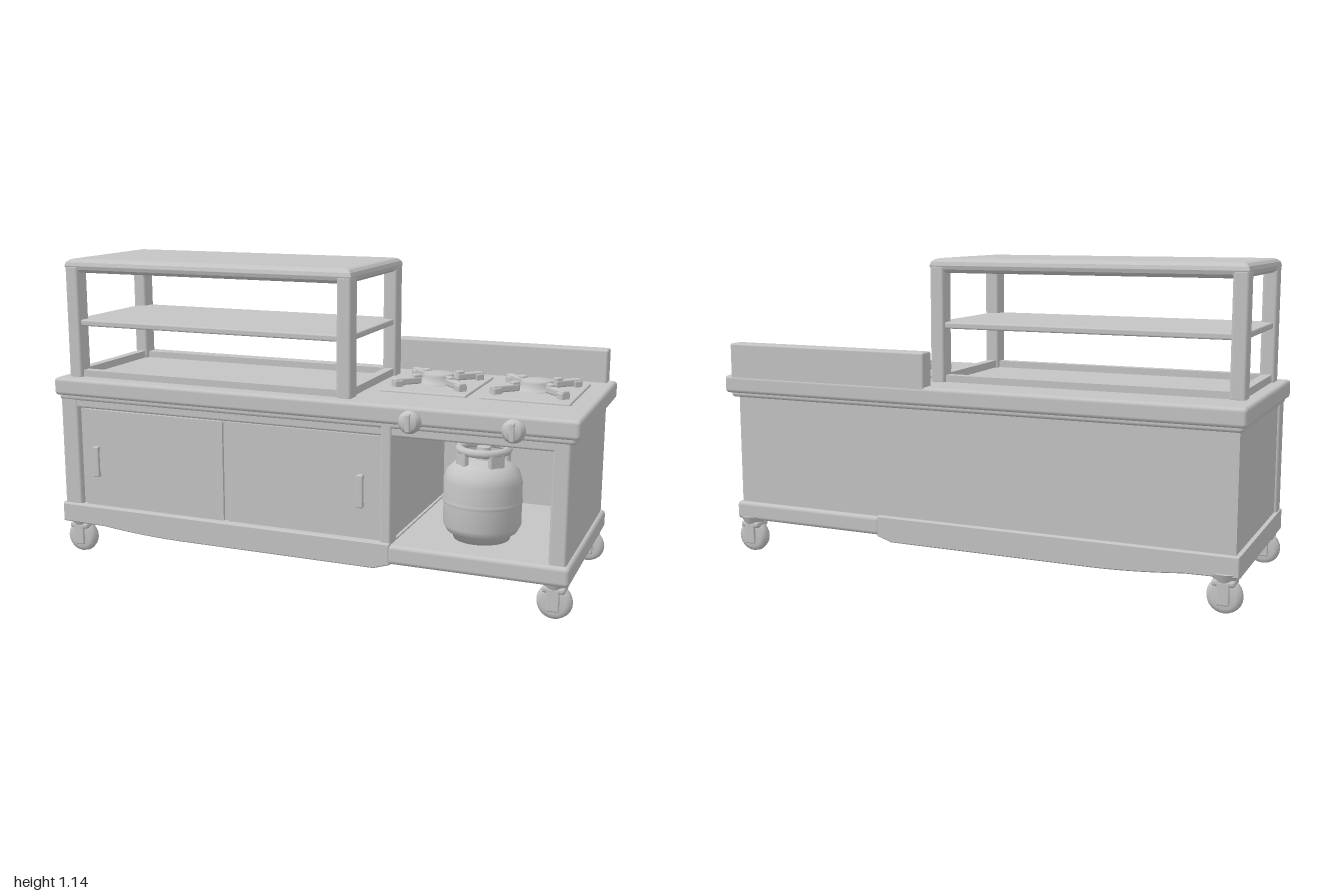
import * as THREE from 'three';
import { RoundedBoxGeometry } from 'three/addons/geometries/RoundedBoxGeometry.js';

const steel = new THREE.MeshStandardMaterial({ color: 0xc4c4c4 });
steel.name = 'brushed steel grey';

function add(parent, name, geometry, x = 0, y = 0, z = 0) {
  const mesh = new THREE.Mesh(geometry, steel);
  mesh.name = name;
  mesh.position.set(x, y, z);
  parent.add(mesh);
  return mesh;
}

// Box given by its extents; r rounds the edges
function block(parent, name, x0, x1, y0, y1, z0, z1, r = 0) {
  const s = [x1 - x0, y1 - y0, z1 - z0];
  const g = r ? new RoundedBoxGeometry(...s, 2, r) : new THREE.BoxGeometry(...s);
  return add(parent, name, g, (x0 + x1) / 2, (y0 + y1) / 2, (z0 + z1) / 2);
}

function group(parent, name, x = 0, y = 0, z = 0) {
  const g = new THREE.Group();
  g.name = name;
  g.position.set(x, y, z);
  parent.add(g);
  return g;
}

function lathe(points, segments = 32) {
  return new THREE.LatheGeometry(points.map(p => new THREE.Vector2(...p)), segments);
}

function cabinet(root) {
  const g = group(root, 'cabinet');
  block(g, 'cupboard', -0.97, 0.35, 0.19, 0.63, -0.345, 0.325);
  block(g, 'rightPanel', 0.91, 0.97, 0.19, 0.63, -0.345, 0.345, 0.01);
  block(g, 'backPanel', 0.34, 0.96, 0.19, 0.63, -0.345, -0.32);
  block(g, 'leftPost', -0.98, -0.905, 0.19, 0.63, 0.28, 0.347, 0.01);
  block(g, 'middlePost', 0.32, 0.36, 0.13, 0.63, 0.28, 0.35, 0.008);
  block(g, 'topRail', -0.95, 0.96, 0.585, 0.63, 0.28, 0.345, 0.008);

  // Sliding doors with a narrow gap and upright pulls
  block(g, 'leftDoor', -0.885, -0.295, 0.2, 0.58, 0.32, 0.336);
  block(g, 'rightDoor', -0.278, 0.32, 0.2, 0.58, 0.32, 0.332);
  for (const x of [-0.83, 0.245]) {
    const h = group(g, 'doorPull', x, 0.38, 0.335);
    block(h, 'grip', -0.013, 0.013, -0.06, 0.06, 0.007, 0.02, 0.005);
    for (const y of [-0.05, 0.05]) block(h, 'mount', -0.01, 0.01, y - 0.008, y + 0.008, -0.005, 0.012);
  }

  // Lower skirt sags gently under the cupboard
  const s = new THREE.Shape();
  s.moveTo(-0.98, 0.135);
  s.lineTo(-0.8, 0.132);
  s.quadraticCurveTo(-0.62, 0.113, -0.46, 0.113);
  s.lineTo(0.3, 0.113);
  s.lineTo(0.355, 0.13);
  s.lineTo(0.355, 0.2);
  s.lineTo(-0.98, 0.2);
  s.closePath();
  const skirt = new THREE.ExtrudeGeometry(s, {
    depth: 0.7, bevelEnabled: true, bevelSize: 0.005, bevelThickness: 0.01, bevelSegments: 2, curveSegments: 8,
  });
  add(g, 'skirt', skirt, 0, 0, -0.35);
  block(g, 'openShelfBase', 0.35, 0.985, 0.13, 0.2, -0.36, 0.36, 0.015);
}

function counter(root) {
  const g = group(root, 'counter');
  block(g, 'worktop', -1, 1, 0.63, 0.697, -0.39, 0.36, 0.014);
  block(g, 'worktopUnderside', -0.985, 0.985, 0.612, 0.65, -0.37, 0.35, 0.012);
  block(g, 'backsplash', 0.145, 0.97, 0.66, 0.82, -0.388, -0.325, 0.008);
}

// Serving rack: posts, rails, middle shelf and roof
function rack(root) {
  const g = group(root, 'servingRack');
  const [x0, x1, z0, z1] = [-0.96, 0.195, -0.235, 0.31];
  for (const x of [x0, x1 - 0.055])
    for (const z of [z0, z1 - 0.065]) block(g, 'post', x, x + 0.055, 0.69, 1.12, z, z + 0.065, 0.01);
  for (const x of [x0 + 0.01, x1 - 0.045])
    block(g, 'sideRail', x, x + 0.035, 0.69, 0.725, z0 + 0.03, z1 - 0.03);
  for (const z of [z0 + 0.015, z1 - 0.05])
    block(g, 'longRail', x0 + 0.03, x1 - 0.03, 0.69, 0.722, z, z + 0.035);
  block(g, 'middleShelf', x0 + 0.012, x1 - 0.012, 0.892, 0.915, z0 + 0.012, z1 - 0.012, 0.006);

  const roof = new THREE.Shape();
  const [a, b, c, d] = [x0 + 0.03, x1 - 0.03, z0 + 0.03, z1 - 0.03];
  roof.moveTo(a, -c);
  roof.lineTo(b, -c);
  roof.lineTo(b, -d);
  roof.lineTo(a, -d);
  roof.closePath();
  const geo = new THREE.ExtrudeGeometry(roof, {
    depth: 0.001, bevelEnabled: true, bevelSize: 0.03, bevelThickness: 0.026, bevelSegments: 3,
  });
  geo.rotateX(-Math.PI / 2);
  add(g, 'roof', geo, 0, 1.118, 0);
}

function burner(root, x) {
  const g = group(root, 'burner', x, 0.697, -0.055);
  block(g, 'drip plate', -0.16, 0.16, -0.01, 0.008, -0.195, 0.195, 0.006);
  add(g, 'cap', lathe([[0.075, 0], [0.07, 0.016], [0.055, 0.02], [0.058, 0.038], [0.05, 0.046], [0, 0.048]], 16));
  for (let i = 0; i < 4; i++) {
    const arm = group(g, 'panSupport');
    arm.rotation.y = Math.PI / 4 + i * Math.PI / 2;
    block(arm, 'bar', 0.075, 0.185, 0.012, 0.038, -0.014, 0.014, 0.006);
    block(arm, 'foot', 0.15, 0.185, 0, 0.032, -0.018, 0.018, 0.006);
    block(arm, 'tip', 0.075, 0.105, 0.02, 0.047, -0.012, 0.012, 0.005);
  }
}

function knob(root, x) {
  const geo = lathe([[0.03, 0], [0.04, 0.008], [0.04, 0.022], [0.03, 0.03], [0.028, 0.04], [0, 0.041]], 20);
  geo.rotateX(Math.PI / 2);
  const g = group(root, 'knob', x, 0.647, 0.35);
  add(g, 'dial', geo);
  block(g, 'grip', -0.009, 0.009, -0.032, 0.032, 0.025, 0.045, 0.005);
}

// Gas bottle with foot ring, domed body and carrying collar
function gasBottle(root) {
  const g = group(root, 'gasBottle', 0.63, 0.2, 0.14);
  add(g, 'body', lathe([
    [0, 0], [0.1, 0], [0.105, 0.02], [0.125, 0.03], [0.138, 0.055], [0.138, 0.13], [0.141, 0.135],
    [0.141, 0.145], [0.138, 0.15], [0.138, 0.21], [0.128, 0.245], [0.1, 0.272], [0.06, 0.285], [0, 0.288],
  ]));
  add(g, 'valve', new THREE.CylinderGeometry(0.025, 0.03, 0.05, 12), 0, 0.305, 0);
  const ring = add(g, 'collarRing', new THREE.TorusGeometry(0.085, 0.015, 8, 28), 0, 0.322, 0);
  ring.rotation.x = Math.PI / 2;
  for (let i = 0; i < 4; i++) {
    const bracket = group(g, 'collarBracket');
    bracket.rotation.y = Math.PI / 4 + i * Math.PI / 2;
    block(bracket, 'strap', 0.074, 0.096, 0.25, 0.325, -0.03, 0.03, 0.008);
  }
}

function caster(root, x, z) {
  const g = group(root, 'caster', x, 0, z);
  add(g, 'swivel', new THREE.CylinderGeometry(0.05, 0.035, 0.035, 16), 0, 0.125, 0);
  block(g, 'forkCrown', -0.04, 0.04, 0.098, 0.122, -0.036, 0.036, 0.01);
  for (const s of [-1, 1]) block(g, 'forkLeg', -0.022, 0.022, 0.035, 0.115, s * 0.031 - 0.006, s * 0.031 + 0.006, 0.005);
  const wheel = lathe([[0, -0.022], [0.042, -0.022], [0.058, -0.015], [0.062, 0], [0.058, 0.015], [0.042, 0.022], [0, 0.022]], 24);
  wheel.rotateX(Math.PI / 2);
  add(g, 'wheel', wheel, 0, 0.062, 0);
}

export function createModel() {
  const root = new THREE.Group();
  root.name = 'cookingCart';
  cabinet(root);
  counter(root);
  rack(root);
  for (const x of [0.4, 0.765]) burner(root, x);
  for (const x of [0.43, 0.785]) knob(root, x);
  gasBottle(root);
  for (const x of [-0.932, 0.93]) for (const z of [0.305, -0.325]) caster(root, x, z);
  return root;
}
